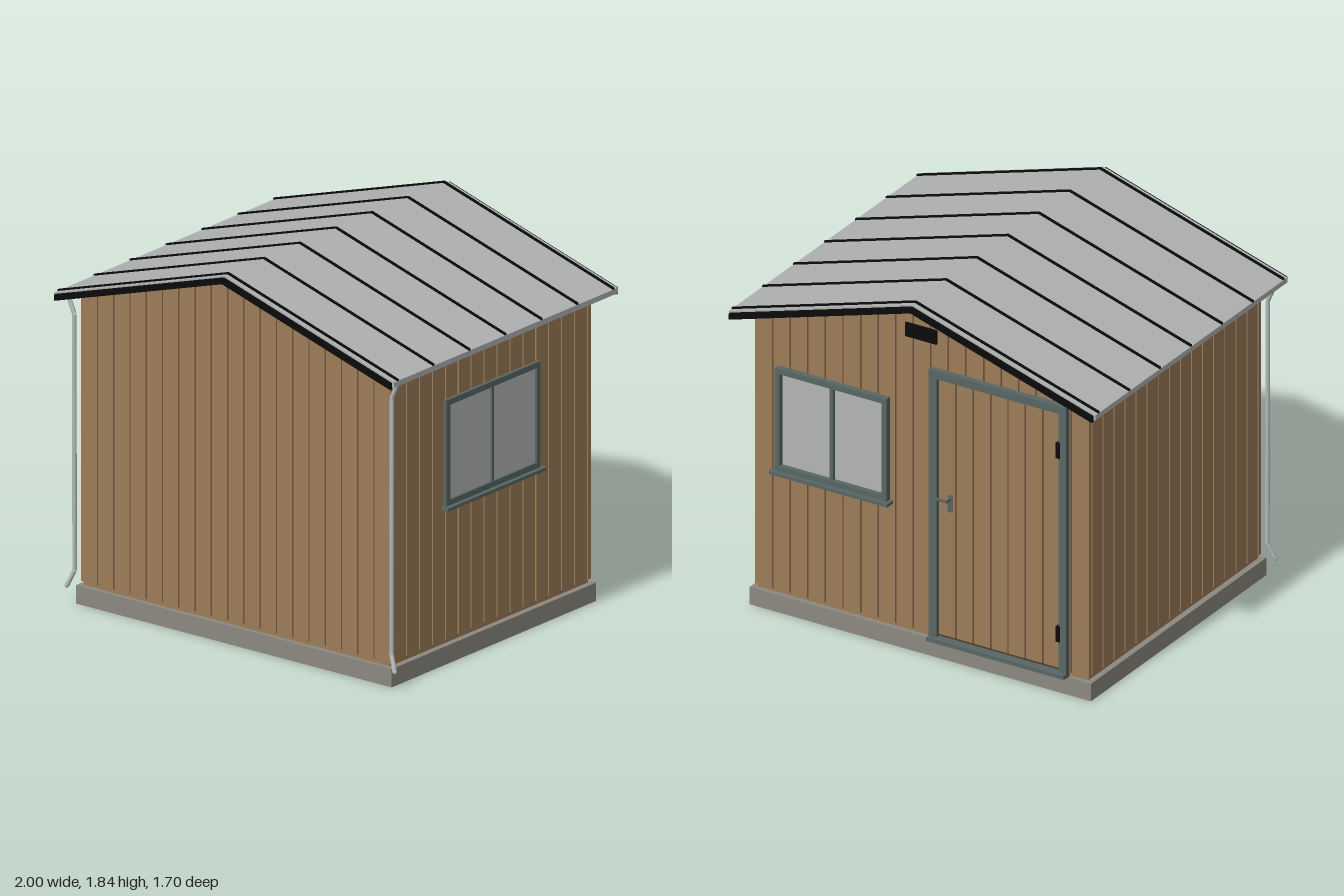
import * as THREE from 'three';

const mat = (name, color) => {
  const m = new THREE.MeshStandardMaterial({ color });
  m.name = name;
  return m;
};

export function createModel() {
  const wood = mat('cladding wood', 0x9c7c58);
  const groove = mat('groove brown', 0x4a3826);
  const concrete = mat('concrete', 0x8b897f);
  const metal = mat('roof metal', 0xb0b2b1);
  const black = mat('black trim', 0x0a0a0a);
  const slate = mat('slate frame', 0x586764);
  const glassMat = mat('window glass', 0xb3b6b5);
  const pipeMat = mat('gutter metal', 0xb4bbbd);

  const shed = new THREE.Group();
  shed.name = 'shed';

  const add = (parent, name, geometry, material) => {
    const m = new THREE.Mesh(geometry, material);
    m.name = name;
    parent.add(m);
    return m;
  };
  // box given by its limits
  const box = (parent, name, material, x0, x1, y0, y1, z0, z1) => {
    const m = add(parent, name, new THREE.BoxGeometry(x1 - x0, y1 - y0, z1 - z0), material);
    m.position.set((x0 + x1) / 2, (y0 + y1) / 2, (z0 + z1) / 2);
    return m;
  };
  // outline in x and y, extruded from z0 to z1
  const prism = (parent, name, material, points, z0, z1) => {
    const shape = new THREE.Shape(points.map(([x, y]) => new THREE.Vector2(x, y)));
    const g = new THREE.ExtrudeGeometry(shape, { depth: z1 - z0, bevelEnabled: false });
    g.translate(0, 0, z0);
    return add(parent, name, g, material);
  };
  const group = (parent, name, x = 0, y = 0, z = 0, turn = 0) => {
    const g = new THREE.Group();
    g.name = name;
    g.position.set(x, y, z);
    g.rotation.y = turn;
    parent.add(g);
    return g;
  };

  const SLOPE = 0.303, APEX = 1.832;
  const wallTop = (x) => APEX - 0.026 - SLOPE * Math.abs(x);

  // slab and wall core
  box(shed, 'foundation', concrete, -0.93, 0.93, 0, 0.09, -0.76, 0.76);
  prism(shed, 'wallCore', groove, [[-0.9, 0.105], [0.9, 0.105], [0.9, wallTop(0.9)],
    [0, wallTop(0)], [-0.9, wallTop(0.9)]], -0.733, 0.733);
  box(shed, 'bottomRail', wood, -0.9, 0.9, 0.09, 0.105, -0.735, 0.735);

  // gable cladding, front and back
  const GAP = 0.004, COUNT = 19, PITCH = 1.82 / COUNT;
  for (const [name, turn] of [['frontCladding', 0], ['backCladding', Math.PI]]) {
    const g = group(shed, name, 0, 0, 0, turn);
    for (let i = 0; i < COUNT; i++) {
      const a = -0.91 + i * PITCH + (i ? GAP : 0);
      const b = -0.91 + (i + 1) * PITCH - (i < COUNT - 1 ? GAP : 0);
      const top = [[b, wallTop(b)]];
      if (a < 0 && b > 0) top.push([0, wallTop(0)]);
      top.push([a, wallTop(a)]);
      prism(g, 'board', wood, [[a, 0.11], [b, 0.11], ...top], 0.733, 0.745);
    }
  }

  // side cladding
  for (const s of [-1, 1]) {
    const g = group(shed, s > 0 ? 'leftCladding' : 'rightCladding', 0, 0, 0, s * Math.PI / 2);
    for (let k = -8; k <= 8; k++) {
      const a = Math.max(-0.733, k * 0.096 - 0.048 + GAP);
      const b = Math.min(0.733, k * 0.096 + 0.048 - GAP);
      if (b > a) box(g, 'board', wood, a, b, 0.11, wallTop(0.91), 0.9, 0.91);
    }
  }

  // roof layers: bent strips following both slopes
  const chevron = (name, material, top, thick, half, z0, z1) => prism(shed, name, material, [
    [-half, top - SLOPE * half], [-half, top - thick - SLOPE * half], [0, top - thick],
    [half, top - thick - SLOPE * half], [half, top - SLOPE * half], [0, top]], z0, z1);
  chevron('roof', metal, APEX, 0.025, 1, -0.832, 0.832);
  for (const z of [-0.802, -0.535, -0.268, 0, 0.268, 0.535, 0.802]) {
    chevron('roofSeam', black, APEX + 0.008, 0.01, 1, z - 0.006, z + 0.006);
  }
  for (const s of [-1, 1]) {
    chevron('bargeBoard', black, APEX - 0.008, 0.03, 0.99, s * 0.84 - 0.008, s * 0.84 + 0.008);
  }

  // gutters and downpipes
  for (const s of [-1, 1]) {
    const x0 = s > 0 ? 0.955 : -0.999;
    box(shed, 'gutter', pipeMat, x0, x0 + 0.044, 1.502, 1.528, -0.831, 0.831);
    const path = new THREE.CurvePath();
    const pts = [[0.978, 1.51, 0.765], [0.965, 1.49, 0.765], [0.935, 1.42, 0.765],
      [0.933, 0.165, 0.765], [0.965, 0.088, 0.782]].map(([x, y, z]) => new THREE.Vector3(s * x, y, z));
    for (let i = 1; i < pts.length; i++) path.add(new THREE.LineCurve3(pts[i - 1], pts[i]));
    // each straight run is its own tube, so bends stay crisp
    path.curves.forEach((c) => add(shed, 'downpipe', new THREE.TubeGeometry(c, 1, 0.011, 10), pipeMat));
    const foot = add(shed, 'downpipeEnd', new THREE.SphereGeometry(0.011, 10, 6), pipeMat);
    foot.position.copy(pts[4]);
  }

  // two-pane window lying on a wall face at local z = 0
  const windowUnit = (parent, w, h, depth) => {
    const f = 0.028, x = w / 2;
    box(parent, 'glass', glassMat, -x + f / 2, x - f / 2, f / 2, h - f / 2, 0.001, 0.007);
    for (const s of [-1, 1]) {
      const c = s * (x - f / 2);
      box(parent, 'windowJamb', slate, c - f / 2, c + f / 2, 0, h, 0, depth);
    }
    box(parent, 'windowHead', slate, -x + f, x - f, h - f, h, 0, depth);
    box(parent, 'windowBottom', slate, -x + f, x - f, 0, f, 0, depth);
    box(parent, 'mullion', slate, -0.009, 0.009, f, h - f, 0, depth * 0.8);
    box(parent, 'windowSill', slate, -x - 0.018, x + 0.018, -0.016, 0, 0, depth + 0.022);
  };
  windowUnit(group(shed, 'sideWindow', 0.91, 0.77, 0, Math.PI / 2), 0.7, 0.52, 0.018);
  windowUnit(group(shed, 'backWindow', 0.48, 0.74, -0.745, Math.PI), 0.61, 0.53, 0.03);

  // door, local x runs towards the hinges
  const door = group(shed, 'door', -0.43, 0, -0.745, Math.PI);
  const W = 0.375, F = 0.042;
  box(door, 'doorCore', groove, -W + F, W - F, 0.11, 1.45, 0, 0.005);
  for (let i = 0; i < 7; i++) {
    const p = (2 * (W - F)) / 7, a = -W + F + i * p;
    box(door, 'doorBoard', wood, a + GAP, a + p - GAP, 0.125, 1.445, 0.005, 0.014);
  }
  for (const s of [-1, 1]) {
    const c = s * (W - F / 2);
    box(door, 'doorJamb', slate, c - F / 2, c + F / 2, 0.09, 1.49, 0, 0.03);
  }
  box(door, 'doorHead', slate, -W + F, W - F, 1.448, 1.49, 0, 0.03);
  box(door, 'threshold', slate, -W, W, 0.092, 0.112, 0, 0.052);
  for (const y of [0.31, 1.26]) {
    box(door, 'hinge', black, W - F - 0.012, W - F + 0.008, y - 0.04, y + 0.04, 0.012, 0.036);
  }
  box(door, 'handlePlate', slate, -0.276, -0.254, 0.775, 0.86, 0.014, 0.022);
  box(door, 'handleStem', slate, -0.271, -0.259, 0.836, 0.848, 0.022, 0.056);
  box(door, 'handleLever', slate, -0.32, -0.259, 0.836, 0.848, 0.046, 0.058);

  // louvred vent under the back gable
  const vent = group(shed, 'gableVent', 0, 1.65, -0.745, Math.PI);
  box(vent, 'ventPlate', black, -0.085, 0.085, -0.035, 0.035, 0, 0.012);
  for (let i = -1; i <= 1; i++) {
    box(vent, 'ventSlat', black, -0.078, 0.078, i * 0.02 - 0.005, i * 0.02 + 0.005, 0.012, 0.022);
  }

  return shed;
}
